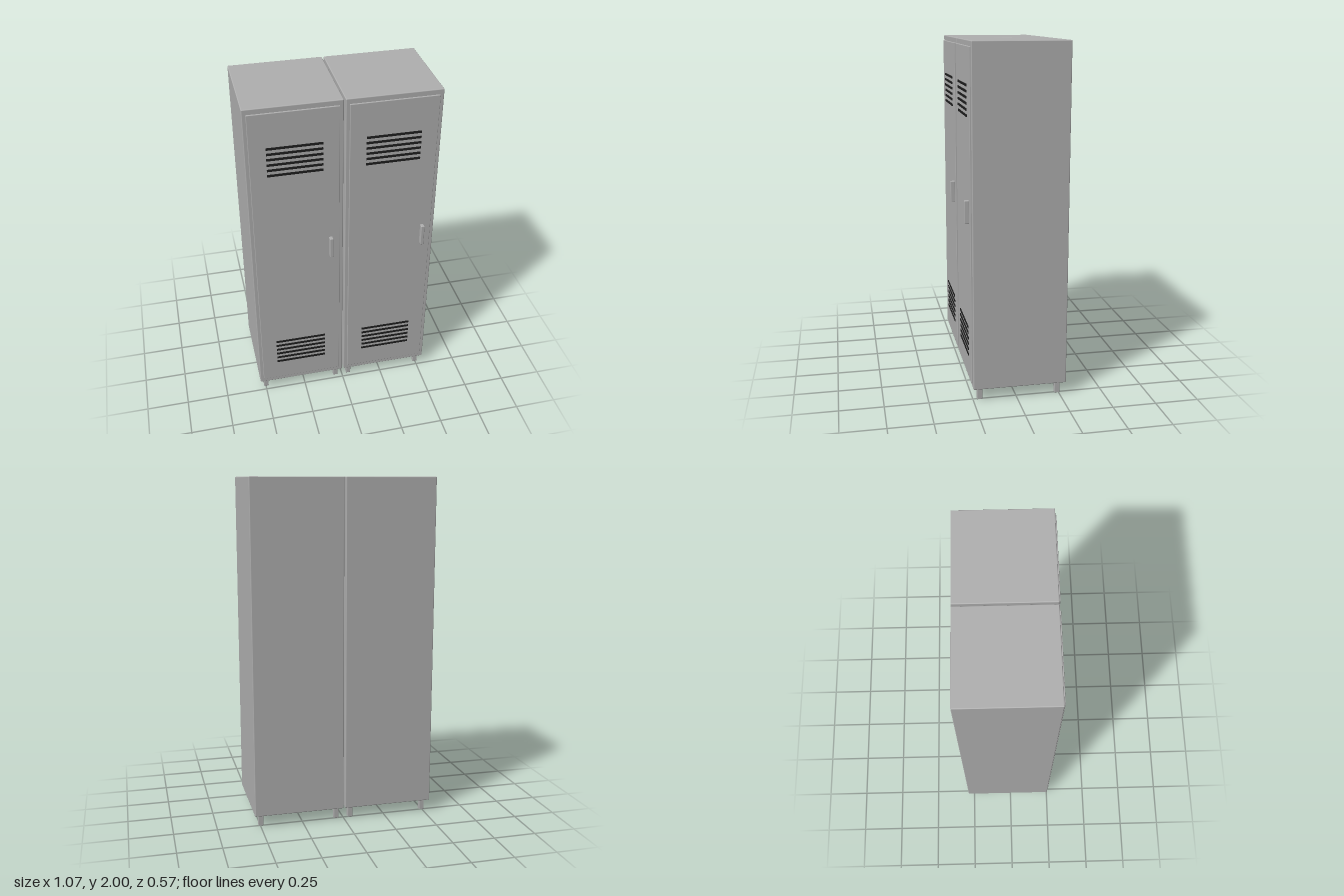
import * as THREE from 'three';
import { RoundedBoxGeometry } from 'three/addons/geometries/RoundedBoxGeometry.js';

const steel = new THREE.MeshStandardMaterial({ color: 0xb0b0b0 });
steel.name = 'grey steel';
const dark = new THREE.MeshStandardMaterial({ color: 0x1e1e1e });
dark.name = 'vent black';

// Box given by its size and centre; a radius rounds the edges
function box(parent, name, size, pos, material, radius = 0) {
  const geometry = radius
    ? new RoundedBoxGeometry(...size, 2, radius)
    : new THREE.BoxGeometry(...size);
  const mesh = new THREE.Mesh(geometry, material);
  mesh.name = name;
  mesh.position.set(...pos);
  parent.add(mesh);
}

function createLocker(name) {
  const locker = new THREE.Group();
  locker.name = name;

  // Cabinet and raised door
  box(locker, 'cabinet', [0.53, 1.93, 0.537], [0, 1.035, -0.0185], steel, 0.005);
  box(locker, 'door', [0.487, 1.87, 0.014], [0, 1.035, 0.251], steel, 0.003);

  // Two banks of six vent slots
  for (const [bank, base] of [['lowerVent', 0.24], ['upperVent', 1.603]]) {
    for (let i = 0; i < 6; i++) {
      box(locker, bank, [0.304, 0.013, 0.008], [0, base + i * 0.0325, 0.258], dark);
    }
  }

  // Upright door handle
  box(locker, 'handle', [0.021, 0.13, 0.028], [0.192, 1.085, 0.27], steel, 0.004);

  // Four short legs
  for (const x of [-0.227, 0.227]) {
    for (const z of [-0.241, 0.211]) {
      box(locker, 'leg', [0.029, 0.075, 0.029], [x, 0.0375, z], steel, 0.003);
    }
  }
  return locker;
}

export function createModel() {
  const model = new THREE.Group();
  model.name = 'doubleLocker';
  for (const [name, x] of [['rightLocker', -0.27], ['leftLocker', 0.27]]) {
    const locker = createLocker(name);
    locker.position.x = x;
    model.add(locker);
  }
  return model;
}
